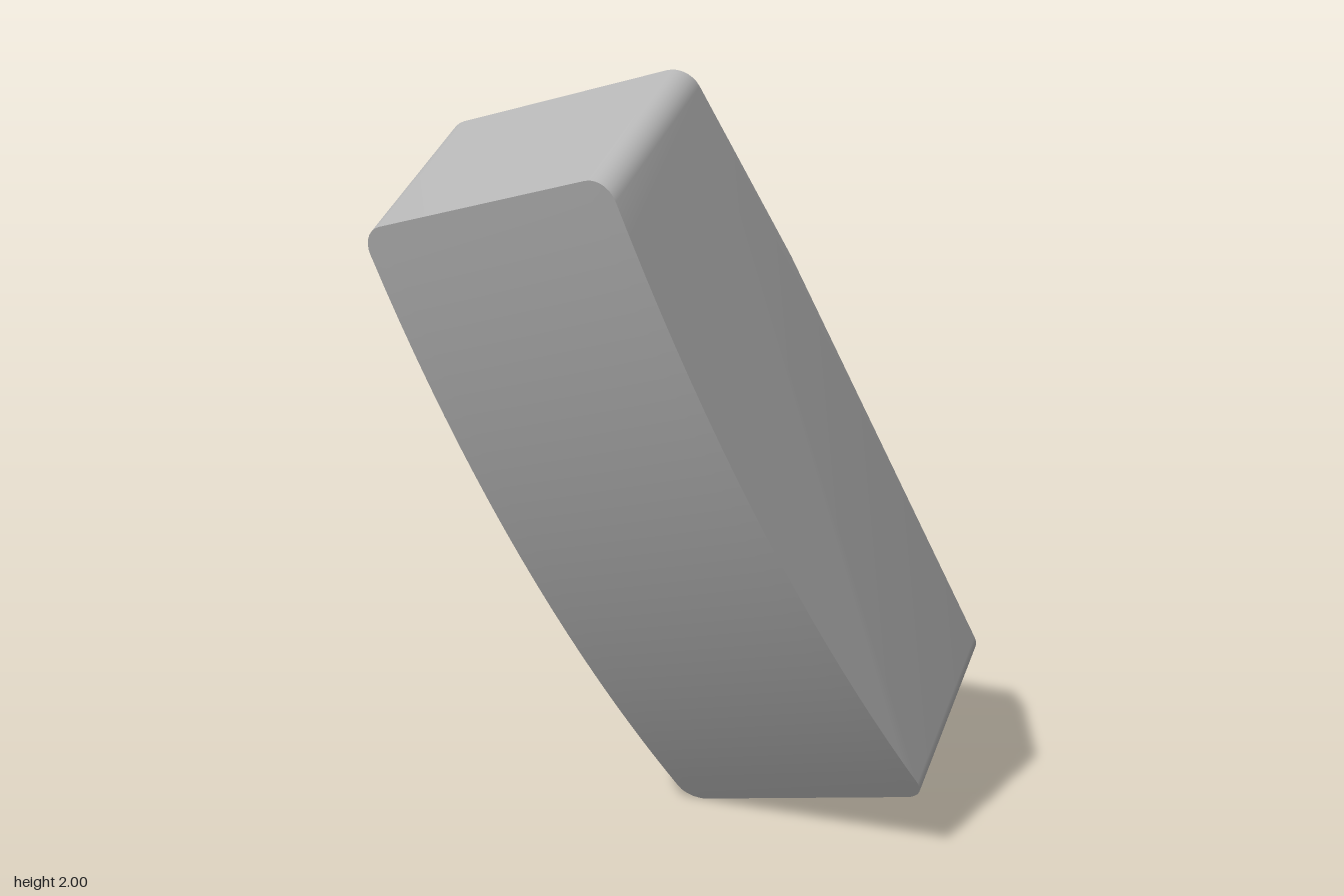
import * as THREE from 'three';
import { toCreasedNormals } from 'three/addons/utils/BufferGeometryUtils.js';

const v = (x, y, z) => new THREE.Vector3(x, y, z);

// Outline corners: top right, middle right, bottom right, bottom left, top left
const FRONT = [v(-0.175, 2.015, 0.188), v(0.13, 1.54, 0.225), v(0.75, 0.405, 0.347), v(0.33, 0.155, 0.545), v(-0.57, 1.79, 0.371)];
const BACK = [v(-0.39, 1.845, -0.515), v(0.12, 1.4, -0.54), v(0.755, 0.37, -0.453), v(0.125, -0.01, -0.161), v(-0.76, 1.62, -0.343)];
const CURVE_STEPS = 20;
const ROUND = 0.06;       // edge rounding radius
const ROUND_DEPTH = 0.08; // rounding depth as a share of the thickness
const ROUND_STEPS = 7;

const unit = (from, to) => to.clone().sub(from).normalize();

// One outline between back (s = 0) and front (s = 1), drawn in at its ends and right side
function outline(s, endInset, rightInset) {
  const [tr, mid, br, bl, tl] = BACK.map((p, i) => p.clone().lerp(FRONT[i], s));
  const left = unit(tr, tl).add(unit(br, bl)).normalize();
  const control = bl.clone().lerp(tl, 0.5).addScaledVector(left, 0.185);
  const curve = new THREE.QuadraticBezierCurve3(bl, control, tl);
  const points = [
    tr.clone().addScaledVector(unit(tr, mid), endInset).addScaledVector(unit(tr, tl), rightInset),
    mid.clone().addScaledVector(left, rightInset),
    br.clone().addScaledVector(unit(br, mid), endInset).addScaledVector(unit(br, bl), rightInset),
  ];
  const t0 = endInset / bl.distanceTo(tl);
  for (let i = 0; i <= CURVE_STEPS; i++) {
    points.push(curve.getPoint(t0 + (1 - 2 * t0) * i / CURVE_STEPS));
  }
  return points;
}

function blockGeometry() {
  const layers = [];
  // Back rounding covers the ends and right side
  for (let i = 0; i <= ROUND_STEPS; i++) {
    const a = (i / ROUND_STEPS) * Math.PI / 2;
    const inset = ROUND * (1 - Math.sin(a));
    layers.push(outline(ROUND_DEPTH * (1 - Math.cos(a)), inset, inset));
  }
  // Front rounding covers only the ends
  for (let i = ROUND_STEPS; i >= 0; i--) {
    const a = (i / ROUND_STEPS) * Math.PI / 2;
    layers.push(outline(1 - ROUND_DEPTH * (1 - Math.cos(a)), ROUND * (1 - Math.sin(a)), 0));
  }
  const positions = [];
  const tri = (...corners) => corners.forEach((p) => positions.push(p.x, p.y, p.z));
  const n = layers[0].length;
  // Sides
  for (let j = 0; j < layers.length - 1; j++) {
    const b = layers[j], f = layers[j + 1];
    for (let i = 0; i < n; i++) {
      const k = (i + 1) % n;
      tri(f[i], f[k], b[k]);
      tri(f[i], b[k], b[i]);
    }
  }
  // Flat front and back
  const back = layers[0], front = layers[layers.length - 1];
  for (let i = 1; i < n - 1; i++) {
    tri(front[0], front[i + 1], front[i]);
    tri(back[0], back[i], back[i + 1]);
  }
  const geometry = new THREE.BufferGeometry();
  geometry.setAttribute('position', new THREE.Float32BufferAttribute(positions, 3));
  return toCreasedNormals(geometry, 0.4);
}

export function createModel() {
  const group = new THREE.Group();
  group.name = 'taperedBlock';
  const grey = new THREE.MeshStandardMaterial({ color: 0xb4b4b4 });
  grey.name = 'grey';
  const block = new THREE.Mesh(blockGeometry(), grey);
  block.name = 'block';
  group.add(block);
  return group;
}
